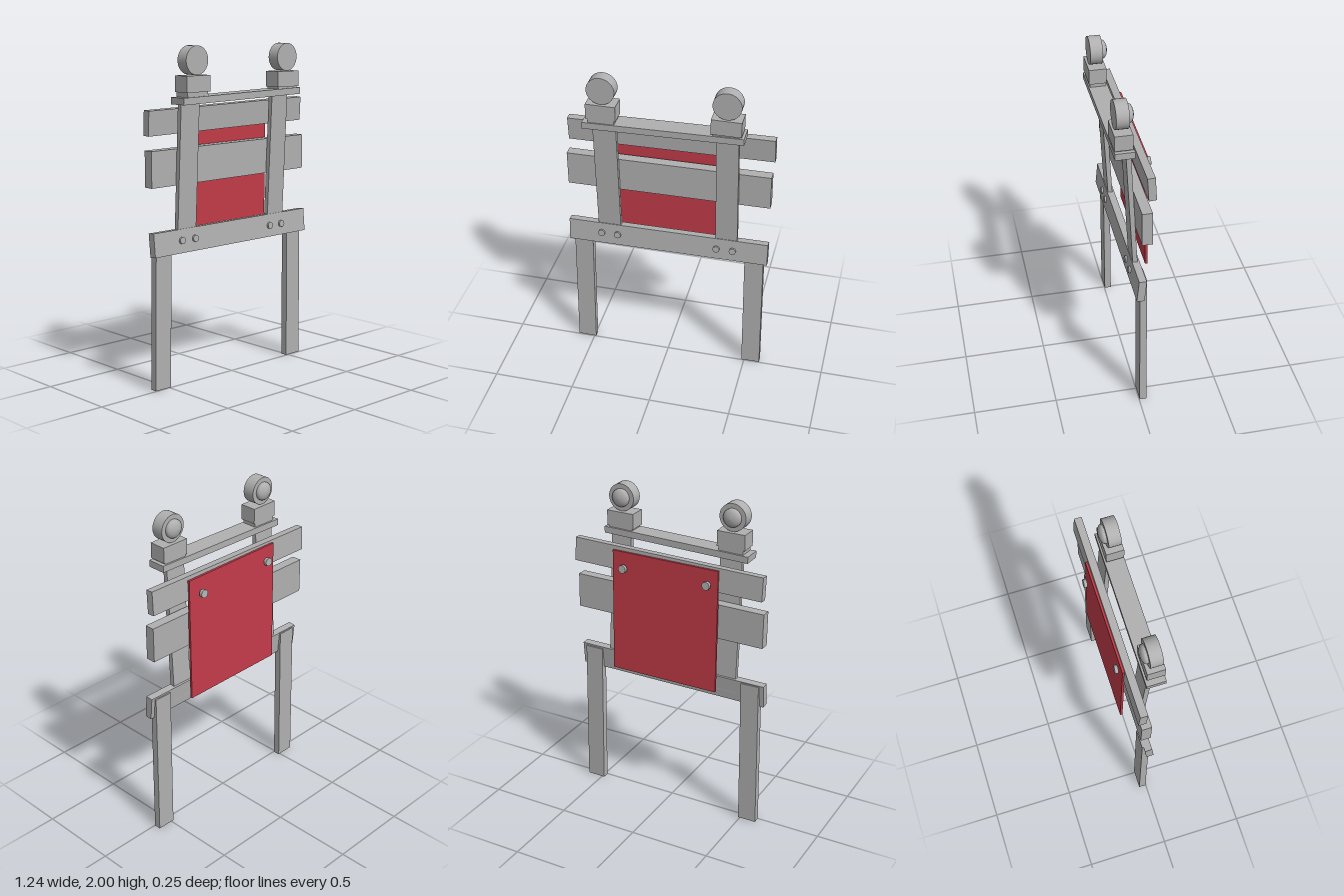
import * as THREE from 'three';

export function createModel() {
  const model = new THREE.Group();
  model.name = 'roadBarrier';
  const grey = new THREE.MeshStandardMaterial({ color: 0xb0b0b0 });
  grey.name = 'plain grey';
  const red = new THREE.MeshStandardMaterial({ color: 0xc23b49 });
  red.name = 'sign red';

  const add = (name, geometry, material, position, rotation = [0, 0, 0]) => {
    const mesh = new THREE.Mesh(geometry, material);
    mesh.name = name;
    mesh.position.set(...position);
    mesh.rotation.set(...rotation);
    model.add(mesh);
    return mesh;
  };
  // Slightly crooked board: size, centre, lean (about x) and slant (about z)
  const board = (name, size, position, lean = 0, slant = 0, material = grey) =>
    add(name, new THREE.BoxGeometry(...size), material, position, [lean, 0, slant]);

  // Legs
  board('rightLeg', [0.115, 0.93, 0.042], [-0.541, 0.468, -0.021], 0.006, -0.012);
  board('leftLeg', [0.115, 0.93, 0.042], [0.536, 0.468, -0.021], 0.006, 0.011);

  // Horizontal boards
  board('bottomRail', [1.235, 0.14, 0.045], [-0.003, 0.874, -0.003], -0.09, 0.006);
  board('middlePlank', [1.23, 0.212, 0.06], [-0.004, 1.31, -0.031], 0.01, 0.008);
  board('upperPlank', [1.232, 0.145, 0.045], [0.003, 1.575, -0.052], 0.06, 0.016);

  // Uprights
  board('rightPost', [0.14, 0.84, 0.028], [-0.367, 1.27, 0.013], 0.055, 0.005);
  board('leftPost', [0.132, 0.84, 0.028], [0.358, 1.27, 0.013], 0.055, 0.008);

  // Red sign panel hung behind the planks
  board('signPanel', [0.693, 0.765, 0.014], [0.007, 1.247, -0.083], 0.014, 0.003, red);

  // Shelf across the posts
  board('topShelf', [0.94, 0.04, 0.113], [-0.009, 1.7, 0.063], 0, 0.022);

  // Bolts through the bottom rail
  for (const x of [-0.415, -0.314, 0.302, 0.402]) {
    add('railBolt', new THREE.CylinderGeometry(0.021, 0.021, 0.03, 12), grey,
      [x, 0.877, 0.016], [Math.PI / 2 - 0.09, 0, 0]);
  }

  // Bolts holding the sign
  for (const [x, z] of [[-0.275, -0.103], [0.27, -0.114]]) {
    add('signBolt', new THREE.CylinderGeometry(0.025, 0.025, 0.02, 10), grey,
      [x, 1.535, z], [Math.PI / 2 + 0.08, 0, 0.05]);
  }

  // Warning lamps: mounting plate, battery box, round housing, rear lens
  const lens = [[0.055, 0], [0.055, 0.012], [0.05, 0.02], [0.038, 0.028], [0.02, 0.034], [0, 0.036]]
    .map(([r, y]) => new THREE.Vector2(r, y));
  for (const x of [-0.367, 0.358]) {
    board('lampPlate', [0.155, 0.06, 0.095], [x, 1.725, 0.065], 0, 0.02);
    board('lampBox', [0.176, 0.094, 0.104], [x, 1.785, 0.067]);
    add('lampHousing', new THREE.CylinderGeometry(0.083, 0.083, 0.074, 32), grey,
      [x, 1.917, 0.07], [Math.PI / 2, 0, 0]);
    add('lampLens', new THREE.LatheGeometry(lens, 24), grey,
      [x, 1.917, 0.033], [-Math.PI / 2, 0, 0]);
  }

  return model;
}
